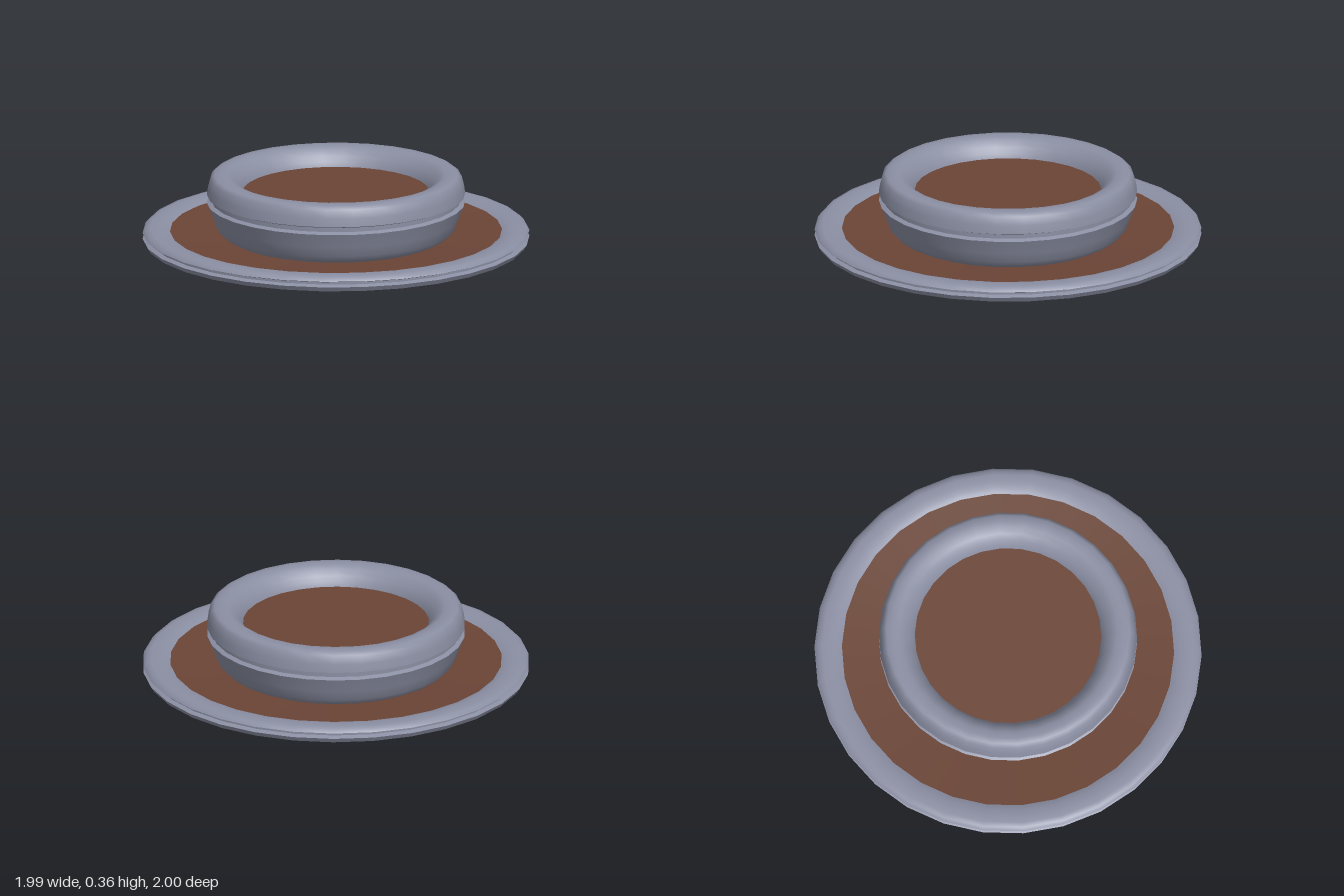
import * as THREE from 'three';

const SEGMENTS = 30;
const metal = new THREE.MeshStandardMaterial({ name: 'blueGreyMetal', color: 0x8b8fa3 });
const brown = new THREE.MeshStandardMaterial({ name: 'brownPanel', color: 0x6b4536 });

// Each profile is [radius, height] pairs; the edges between profiles stay sharp
function turned(name, material, profiles) {
  const part = new THREE.Group();
  part.name = name;
  profiles.forEach((profile, i) => {
    const points = profile.map(([r, y]) => new THREE.Vector2(r, y));
    const mesh = new THREE.Mesh(new THREE.LatheGeometry(points, SEGMENTS), material);
    mesh.name = `${name}Surface${i + 1}`;
    part.add(mesh);
  });
  return part;
}

export function createModel() {
  const model = new THREE.Group();
  model.name = 'ringedDisc';

  // Wide outer rim with a groove around its edge
  model.add(turned('outerRim', metal, [
    [[0.85, 0.047], [0.87, 0.022], [0.9, 0.004], [0.93, 0], [0.985, 0]],
    [[0.985, 0], [1, 0.025]],
    [[1, 0.025], [0.975, 0.034]],
    [[0.975, 0.034], [0.975, 0.046]],
    [[0.975, 0.046], [1, 0.055]],
    [[1, 0.055], [0.985, 0.073], [0.96, 0.078], [0.92, 0.078], [0.89, 0.073], [0.87, 0.067], [0.85, 0.058]],
  ]));

  // Shallow dish between the rim and the raised ring
  model.add(turned('dish', brown, [
    [[0.86, 0.062], [0.54, 0.037]],
    [[0.54, 0.03], [0.86, 0.05]],
  ]));

  // Tall raised ring with a groove around its middle
  model.add(turned('raisedRing', metal, [
    [[0.485, 0.02], [0.52, 0.022], [0.55, 0.035], [0.59, 0.055], [0.618, 0.085], [0.637, 0.14], [0.668, 0.215]],
    [[0.668, 0.215], [0.645, 0.225]],
    [[0.645, 0.225], [0.645, 0.248]],
    [[0.645, 0.248], [0.668, 0.257]],
    [[0.668, 0.257], [0.662, 0.3], [0.65, 0.345], [0.63, 0.36], [0.6, 0.363], [0.565, 0.361],
      [0.535, 0.348], [0.51, 0.32], [0.49, 0.295], [0.48, 0.265]],
  ]));

  // Panels closing the top and bottom of the raised ring
  model.add(turned('topPanel', brown, [[[0.483, 0.27], [0, 0.27]]]));
  model.add(turned('bottomPanel', brown, [[[0, 0.02], [0.487, 0.02]]]));

  return model;
}
